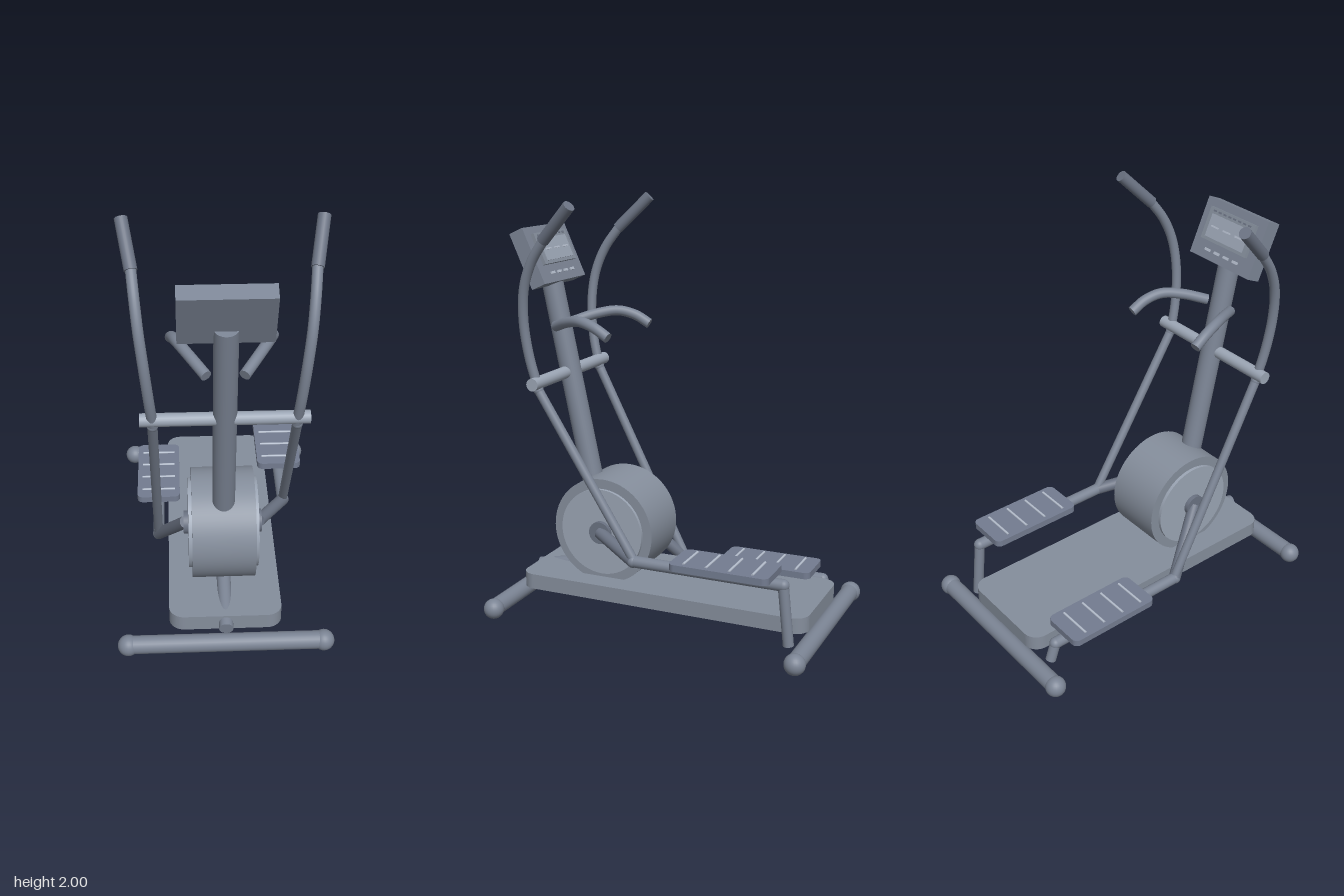
import * as THREE from 'three';

const paint = (color) => new THREE.MeshStandardMaterial({ color });
const FRAME = paint(0x7b8494);
const BASE = paint(0x858e9c);
const LIGHT = paint(0x9ba5b4);
const DARK = paint(0x6a7282);
const PEDAL = paint(0x737c90);
const MARK = paint(0xb4bdcc);
const V = (p) => new THREE.Vector3(...p);

function add(parent, name, material, geometry, position = [0, 0, 0]) {
  const mesh = new THREE.Mesh(geometry, material);
  mesh.name = name;
  mesh.position.set(...position);
  parent.add(mesh);
  return mesh;
}

// Straight round bar between two points
function bar(parent, name, material, a, b, radius, sides = 24) {
  const from = V(a), dir = V(b).sub(from);
  const mesh = add(parent, name, material, new THREE.CylinderGeometry(radius, radius, dir.length(), sides));
  mesh.position.copy(from).addScaledVector(dir, 0.5);
  mesh.quaternion.setFromUnitVectors(new THREE.Vector3(0, 1, 0), dir.normalize());
}

function ball(parent, name, material, position, radius) {
  add(parent, name, material, new THREE.SphereGeometry(radius, 24, 16), position);
}

function box(parent, name, material, size, position) {
  add(parent, name, material, new THREE.BoxGeometry(...size), position);
}

// Smoothly bent tube with closed ends
function bentTube(parent, name, material, points, radius) {
  const curve = new THREE.CatmullRomCurve3(points.map(V));
  add(parent, name, material, new THREE.TubeGeometry(curve, 40, radius, 20));
  for (const t of [0, 1]) {
    const cap = add(parent, name + 'End', material, new THREE.CircleGeometry(radius, 20));
    cap.position.copy(curve.getPointAt(t));
    const out = curve.getTangentAt(t).multiplyScalar(t ? 1 : -1);
    cap.quaternion.setFromUnitVectors(new THREE.Vector3(0, 0, 1), out);
  }
}

// Flat plate with rounded corners, resting on y = 0
function plate(width, depth, height, r) {
  const x = width / 2, z = depth / 2;
  const s = new THREE.Shape();
  s.moveTo(-x + r, -z);
  s.lineTo(x - r, -z);
  s.absarc(x - r, -z + r, r, -Math.PI / 2, 0);
  s.absarc(x - r, z - r, r, 0, Math.PI / 2);
  s.absarc(-x + r, z - r, r, Math.PI / 2, Math.PI);
  s.absarc(-x + r, -z + r, r, Math.PI, Math.PI * 1.5);
  const g = new THREE.ExtrudeGeometry(s, { depth: height, bevelEnabled: false, curveSegments: 8 });
  return g.rotateX(-Math.PI / 2);
}

function buildFrame(model) {
  add(model, 'basePlate', BASE, plate(0.52, 1.465, 0.075, 0.07), [0, 0.1, -0.012]);
  for (const [name, z] of [['frontStabilizer', 0.76], ['rearStabilizer', -0.76]]) {
    bar(model, name, FRAME, [-0.45, 0.052, z], [0.45, 0.052, z], 0.042);
    for (const x of [-0.45, 0.45]) ball(model, name + 'Foot', FRAME, [x, 0.05, z], 0.049);
  }
  bar(model, 'frontStrut', FRAME, [0, 0.128, 0.752], [0, 0.195, 0.38], 0.033);
  bar(model, 'mainPost', FRAME, [0, 0.5, 0.42], [0, 1.645, 0.66], 0.052, 32);
  bar(model, 'crossbar', LIGHT, [-0.365, 1.155, 0.563], [0.365, 1.155, 0.563], 0.03);
}

function buildFlywheel(model) {
  const y = 0.41, z = 0.32;
  bar(model, 'flywheelHousing', BASE, [-0.147, y, z], [0.147, y, z], 0.26, 64);
  bar(model, 'flywheelSideDisc', LIGHT, [-0.163, y, z], [0.163, y, z], 0.213, 64);
  bar(model, 'flywheelHub', DARK, [-0.185, y, z], [0.185, y, z], 0.055, 32);
}

// Display unit tilted toward the rider; the rider's side is local -z
function buildConsole(model) {
  const unit = new THREE.Group();
  unit.name = 'console';
  unit.position.set(0, 1.714, 0.667);
  unit.rotation.x = 0.42;
  model.add(unit);
  box(unit, 'consoleBody', FRAME, [0.4, 0.28, 0.076], [0, 0, 0]);
  box(unit, 'displayBezel', BASE, [0.3, 0.155, 0.02], [0, 0.025, -0.045]);
  box(unit, 'displayScreen', LIGHT, [0.25, 0.11, 0.006], [0, 0.018, -0.056]);
  for (let i = -1; i <= 1; i++)
    box(unit, 'displayDash', MARK, [0.05, 0.008, 0.004], [i * 0.08, 0.018, -0.06]);
  for (let i = 0; i < 8; i++)
    box(unit, 'indicator', DARK, [0.018, 0.008, 0.004], [(i - 3.5) * 0.033, 0.088, -0.056]);
  for (let i = 0; i < 4; i++)
    box(unit, 'button', MARK, [0.035, 0.012, 0.008], [(i - 1.5) * 0.062, -0.095, -0.04]);
}

// Handles and pedal linkage of one side; side is +1 or -1, railY the pedal rail height
function buildSide(model, side, railY) {
  const g = new THREE.Group();
  g.name = side > 0 ? 'leftLinkage' : 'rightLinkage';
  model.add(g);
  const p = (x, y, z) => [side * x, y, z];
  const X = 0.31;

  // Fixed hand grip beside the post
  bentTube(g, 'fixedHandle', FRAME, [
    p(0.08, 1.385, 0.59), p(0.145, 1.42, 0.49), p(0.195, 1.435, 0.395),
    p(0.218, 1.415, 0.31), p(0.226, 1.375, 0.238),
  ], 0.025);

  // Swinging handlebar with its grip and lower arm
  bentTube(g, 'swingHandle', FRAME, [
    p(0.308, 1.12, 0.56), p(0.322, 1.28, 0.598), p(0.338, 1.45, 0.613),
    p(0.354, 1.6, 0.596), p(0.366, 1.72, 0.548), p(0.378, 1.83, 0.47),
  ], 0.023);
  bar(g, 'handleGrip', DARK, p(0.377, 1.82, 0.479), p(0.415, 1.98, 0.322), 0.028);
  ball(g, 'swingPivot', FRAME, p(X, 1.12, 0.56), 0.024);
  bar(g, 'lowerArm', FRAME, p(X, 1.12, 0.56), p(X, railY + 0.02, 0.085), 0.022);

  // Crank, pedal rail and rear leg
  bar(g, 'crank', DARK, p(0.175, 0.41, 0.32), p(X, railY, 0.08), 0.03);
  ball(g, 'crankJoint', FRAME, p(X, railY, 0.08), 0.03);
  bar(g, 'pedalRail', FRAME, p(X, railY, 0.08), p(X, railY, -0.655), 0.028);
  ball(g, 'rearJoint', FRAME, p(X, railY, -0.655), 0.028);
  bar(g, 'rearLeg', FRAME, p(X, railY, -0.655), p(X, 0.065, -0.685), 0.025);

  // Foot pedal with grip ridges
  add(g, 'pedal', PEDAL, plate(0.22, 0.475, 0.032, 0.03), p(X, railY + 0.027, -0.38));
  for (let i = 0; i < 4; i++) {
    const y = railY + 0.06, z = -0.54 + i * 0.11;
    bar(g, 'pedalRidge', MARK, p(X - 0.085, y, z), p(X + 0.085, y, z), 0.006, 12);
  }
}

export function createModel() {
  const model = new THREE.Group();
  model.name = 'ellipticalTrainer';
  buildFrame(model);
  buildFlywheel(model);
  buildConsole(model);
  buildSide(model, 1, 0.347);
  buildSide(model, -1, 0.152);
  return model;
}
